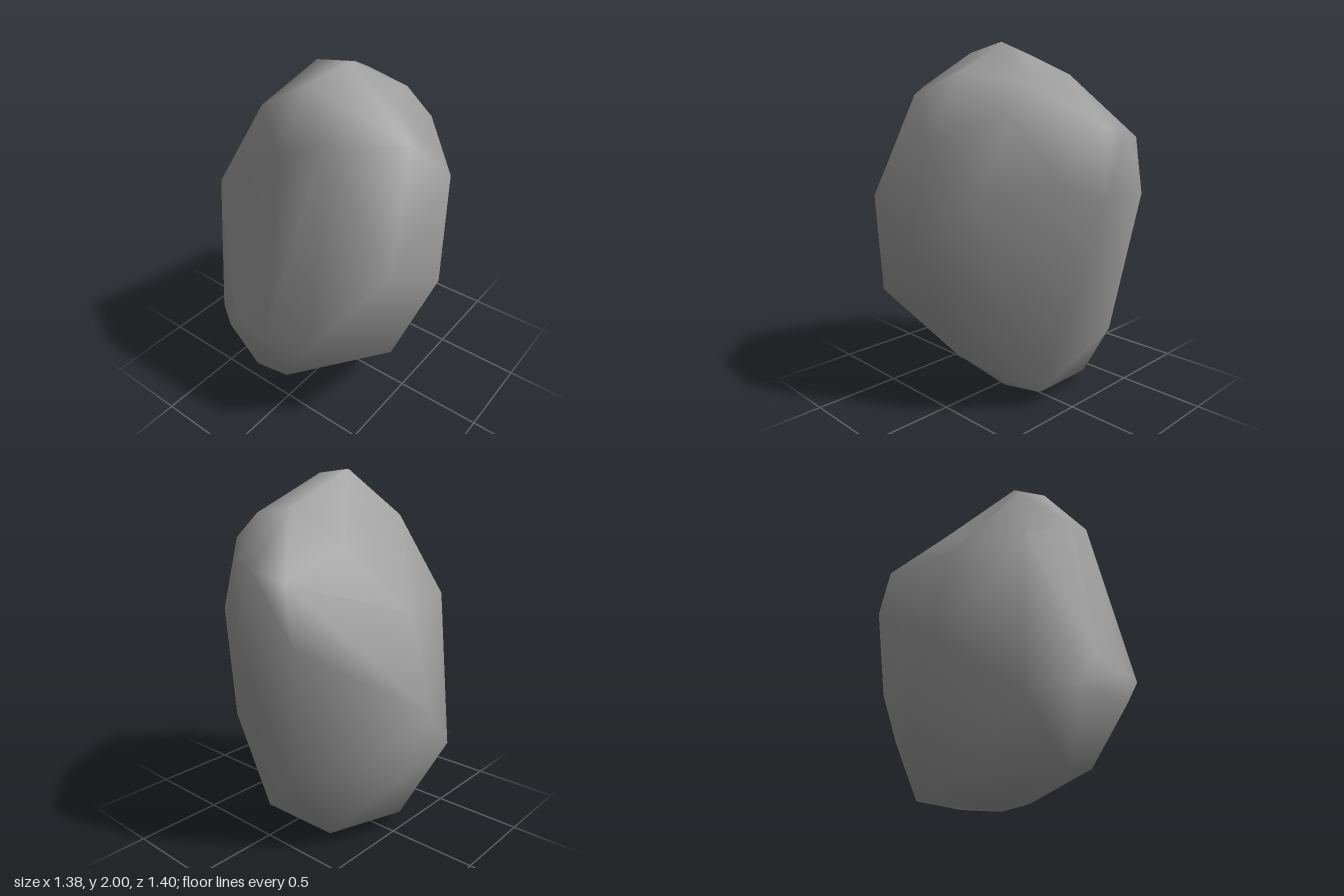
import * as THREE from 'three';
import { ConvexGeometry } from 'three/addons/geometries/ConvexGeometry.js';
import { mergeVertices } from 'three/addons/utils/BufferGeometryUtils.js';

// Corners of the boulder (x, y, z), from the foot up to the ridge
const FOOT = [
  [-0.3, 0, 0.18], [-0.15, 0.02, 0.26], [-0.07, 0.03, 0.19], [0.16, 0.06, -0.12], [0.13, 0.09, -0.37],
  [-0.31, 0.06, -0.33], [-0.49, 0.09, 0.07], [-0.24, 0.13, 0.51], [0, 0.18, 0.51],
  [0.42, 0.3, 0], [-0.24, 0.42, -0.56],
];
const WAIST = [
  [-0.63, 0.41, -0.15], [-0.55, 0.41, 0.46], [-0.31, 0.5, 0.63], [0.1, 0.51, 0.68],
  [-0.2, 0.66, 0.67], [0.05, 0.66, 0.7], [0.33, 0.71, 0.66], [0.63, 0.64, 0.37],
  [0.42, 0.58, -0.35], [-0.57, 0.56, -0.37], [-0.69, 0.76, 0.04], [0.69, 0.93, 0.03],
];
const SHOULDER = [
  [0.63, 1.17, 0.42], [0.52, 1.22, -0.29], [0.21, 1.3, -0.58], [0, 1.2, -0.69],
  [-0.37, 1.19, -0.65], [-0.57, 1.29, 0.02], [-0.47, 1.32, 0.44], [0.05, 1.2, 0.56],
  [0.64, 1.5, -0.08], [-0.31, 1.5, -0.64], [-0.13, 1.56, -0.7], [0, 1.56, -0.69],
];
const CROWN = [
  [0.35, 1.64, -0.36], [0, 1.62, 0.47], [0.54, 1.72, 0.15], [0.25, 1.75, 0.45],
  [-0.28, 1.757, 0.28], [0.35, 1.84, 0], [0.2, 1.78, -0.34], [-0.08, 1.82, -0.37],
  [0, 1.93, -0.14], [0.03, 1.94, 0.28], [-0.1, 1.91, -0.03], [-0.05, 2, 0.11], [0.06, 1.98, 0],
];

// Hollow beside the ridge: a corner on the skin that is pressed inward
const HOLLOW_SKIN = new THREE.Vector3(-0.33, 1.7, -0.11);
const HOLLOW_FLOOR = new THREE.Vector3(-0.2, 1.6, -0.09);

function boulderGeometry() {
  const corners = [...FOOT, ...WAIST, ...SHOULDER, ...CROWN].map((p) => new THREE.Vector3(...p));
  const hull = new ConvexGeometry([...corners, HOLLOW_SKIN]);
  // Join the faces at their corners so the stone shades smoothly
  hull.deleteAttribute('normal');
  const smooth = mergeVertices(hull, 1e-4);
  const pos = smooth.attributes.position;
  const p = new THREE.Vector3();
  for (let i = 0; i < pos.count; i++) {
    p.fromBufferAttribute(pos, i);
    if (p.distanceTo(HOLLOW_SKIN) < 1e-3) pos.setXYZ(i, ...HOLLOW_FLOOR.toArray());
  }
  smooth.computeVertexNormals();
  return smooth;
}

export function createModel() {
  const group = new THREE.Group();
  group.name = 'rock';
  const stone = new THREE.MeshStandardMaterial({ color: 0x9e9e9e });
  stone.name = 'stone grey';
  const boulder = new THREE.Mesh(boulderGeometry(), stone);
  boulder.name = 'boulder';
  group.add(boulder);
  return group;
}
